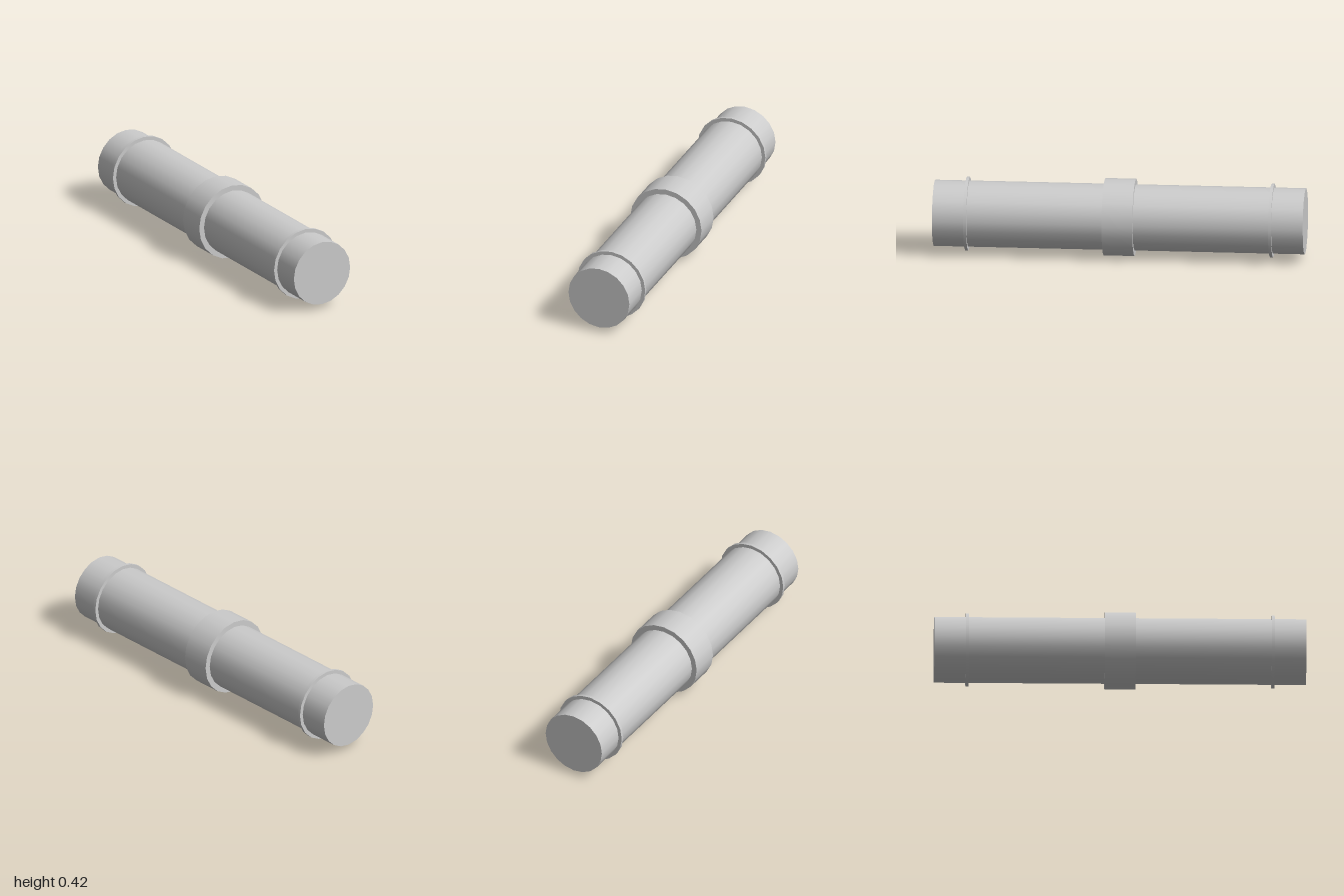
import * as THREE from 'three';

const SIDES = 20;
const AXIS_Y = 0.208;

export function createModel() {
  const group = new THREE.Group();
  const material = new THREE.MeshStandardMaterial({ color: 0xcccccc });

  // Capped cylinder lying along z
  const addCylinder = (name, radius, length, z = 0) => {
    const geometry = new THREE.CylinderGeometry(radius, radius, length, SIDES).rotateX(Math.PI / 2);
    const mesh = new THREE.Mesh(geometry, material);
    mesh.name = name;
    mesh.position.set(0, AXIS_Y, z);
    group.add(mesh);
  };

  // Main pipe and the wide collar around its middle
  addCylinder('pipe', 0.178, 2);
  addCylinder('centreCollar', 0.208, 0.166);

  // Thin rings near both ends
  addCylinder('frontRing', 0.198, 0.016, 0.822);
  addCylinder('backRing', 0.198, 0.016, -0.822);

  return group;
}
